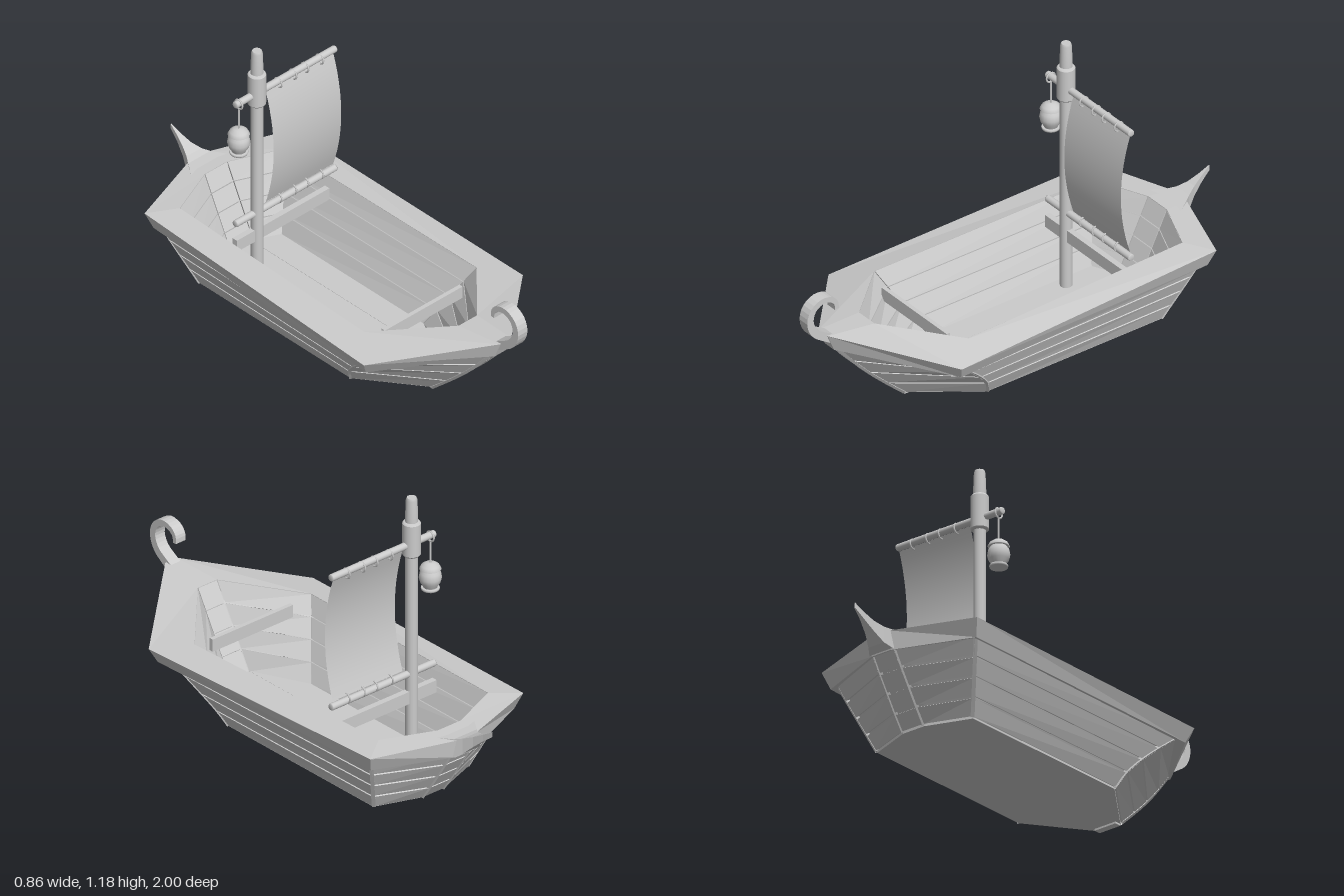
import * as THREE from 'three';
import { mergeGeometries } from 'three/addons/utils/BufferGeometryUtils.js';

const flat = new THREE.MeshStandardMaterial({ color: 0xcccccc, flatShading: true, side: THREE.DoubleSide });
const smooth = new THREE.MeshStandardMaterial({ color: 0xcccccc, side: THREE.DoubleSide });
const V = (a) => new THREE.Vector3(...a);

export function createModel() {
  const boat = new THREE.Group();
  boat.name = 'sailingBoat';
  const add = (name, geo, mat = flat, x = 0, y = 0, z = 0) => {
    const m = new THREE.Mesh(geo, mat);
    m.name = name;
    m.position.set(x, y, z);
    boat.add(m);
    return m;
  };

  // Geometry from a list of quads, each with four corners in outward order
  const quads = (list) => {
    const pos = [];
    for (const [a, b, c, d] of list) for (const p of [a, b, c, a, c, d]) pos.push(p.x, p.y, p.z);
    const g = new THREE.BufferGeometry();
    g.setAttribute('position', new THREE.Float32BufferAttribute(pos, 3));
    g.computeVertexNormals();
    return g;
  };

  // Skin over equal cross-sections; each section is a closed loop
  const loft = (sections, closed = false) => {
    const list = [];
    const n = sections.length;
    for (let i = 0; i < (closed ? n : n - 1); i++) {
      const s = sections[i], t = sections[(i + 1) % n];
      s.forEach((p, k) => {
        const k2 = (k + 1) % s.length;
        list.push([p, t[k], t[k2], s[k2]]);
      });
    }
    return quads(list);
  };

  // Plank: a quad pulled in at its edges by a gap and given thickness
  const plank = (corners, gap, thick) => {
    const [a, b, c, d] = corners;
    const inset = (p, along, up) => p.clone()
      .addScaledVector(along.clone().sub(p).normalize(), gap)
      .addScaledVector(up.clone().sub(p).normalize(), gap);
    const o = [inset(a, b, d), inset(b, a, c), inset(c, d, b), inset(d, c, a)];
    const n = c.clone().sub(a).cross(d.clone().sub(b)).normalize();
    const i = o.map((p) => p.clone().addScaledVector(n, -thick));
    const list = [o, [i[3], i[2], i[1], i[0]]];
    for (let k = 0; k < 4; k++) list.push([o[k], i[k], i[(k + 1) % 4], o[(k + 1) % 4]]);
    return quads(list);
  };

  // Half ring (bow centre, bow corner, stern corner, stern centre) mirrored to a full one
  const fullRing = (half) => {
    const r = half.map(V);
    return [...r, ...r.map((p) => new THREE.Vector3(-p.x, p.y, p.z)).reverse()];
  };

  // Outer hull: five levels, four strakes
  const outer = [
    [[0.055, 0.01, 0.55], [0.25, 0.01, 0.285], [0.25, 0.01, -0.58], [0.055, 0.01, -0.65]],
    [[0.049, 0.085, 0.635], [0.285, 0.08, 0.315], [0.278, 0.08, -0.607], [0.055, 0.075, -0.695]],
    [[0.043, 0.165, 0.72], [0.317, 0.145, 0.37], [0.306, 0.15, -0.635], [0.055, 0.145, -0.74]],
    [[0.036, 0.245, 0.795], [0.346, 0.21, 0.44], [0.334, 0.22, -0.662], [0.055, 0.215, -0.785]],
    [[0.03, 0.335, 0.87], [0.375, 0.275, 0.52], [0.362, 0.295, -0.69], [0.055, 0.29, -0.83]],
  ].map(fullRing);

  // Inner walls rise from the floor to the rim opening
  const floorHalf = [[0.05, 0.05, 0.5], [0.165, 0.05, 0.26], [0.165, 0.05, -0.545], [0.06, 0.05, -0.595]];
  const openHalf = [[0.05, 0.385, 0.69], [0.305, 0.34, 0.42], [0.285, 0.355, -0.65], [0.06, 0.355, -0.745]];
  const low = fullRing(floorHalf), high = fullRing(openHalf);
  const inner = [0, 0.25, 0.5, 0.75, 1].map((t) => low.map((p, i) => p.clone().lerp(high[i], t)));

  const outside = [], inside = [];
  for (let j = 0; j < 4; j++) {
    for (let i = 0; i < 8; i++) {
      const k = (i + 1) % 8;
      outside.push(plank([outer[j][i], outer[j][k], outer[j + 1][k], outer[j + 1][i]], 0.005, 0.018));
      inside.push(plank([inner[j][k], inner[j][i], inner[j + 1][i], inner[j + 1][k]], 0.002, 0.015));
    }
  }
  add('hullPlanks', mergeGeometries(outside));
  add('innerPlanks', mergeGeometries(inside));

  // Backing behind the plank gaps
  const core = outer.map((r) => r.map((p) => new THREE.Vector3(p.x * 0.965, p.y, p.z * 0.98)));
  const coreQuads = [];
  for (let j = 0; j < 4; j++) for (let i = 0; i < 8; i++) {
    const k = (i + 1) % 8;
    coreQuads.push([core[j][i], core[j][k], core[j + 1][k], core[j + 1][i]]);
  }
  add('hullCore', quads(coreQuads));

  // Corner posts where the plank panels meet
  for (let i = 0; i < 8; i++) {
    const path = new THREE.CatmullRomCurve3(outer.map((r) => new THREE.Vector3(r[i].x * 0.98, r[i].y + 0.004, r[i].z * 0.992)));
    add('cornerPost', new THREE.TubeGeometry(path, 8, 0.011, 4));
  }

  // Flat horizontal panel from [x, z] points
  const panel = (pts, thick) => new THREE.ExtrudeGeometry(
    new THREE.Shape(pts.map(([x, z]) => new THREE.Vector2(x, -z))), { depth: thick, bevelEnabled: false }).rotateX(-Math.PI / 2);
  add('hullBottom', panel(outer[0].map((p) => [p.x * 0.985, p.z * 0.99]), 0.015), flat, 0, 0.008, 0);
  add('keelFoot', new THREE.BoxGeometry(0.108, 0.02, 0.03), flat, 0, 0.01, 0.53);

  // Floor boards
  add('floorCentre', panel([[-0.049, 0.5], [0.049, 0.5], [0.049, -0.595], [-0.049, -0.595]], 0.02), flat, 0, 0.035, 0);
  for (const s of [1, -1]) {
    add('floorSide', panel([[0.052 * s, 0.5], [0.167 * s, 0.26], [0.167 * s, -0.547], [0.052 * s, -0.6]], 0.02), flat, 0, 0.033, 0);
  }

  // Gunwale: a broad sloping rim around the opening
  const rimTop = fullRing([[0.03, 0.4, 0.905], [0.43, 0.31, 0.55], [0.4, 0.345, -0.73], [0.05, 0.35, -0.85]]);
  const rimLow = fullRing([[0.03, 0.325, 0.875], [0.4, 0.25, 0.53], [0.375, 0.275, -0.705], [0.05, 0.27, -0.84]]);
  add('gunwale', loft(rimTop.map((p, i) => [
    rimLow[i], p, high[i], high[i].clone().setY(high[i].y - 0.05),
  ].reverse()), true));

  // Curled prow: a tapering outline offset on both sides of a curve in z, y
  const curl = new THREE.CatmullRomCurve3([
    [0.85, 0.36], [0.91, 0.395], [0.965, 0.435], [0.987, 0.49], [0.972, 0.54],
    [0.93, 0.566], [0.885, 0.56], [0.86, 0.535], [0.856, 0.505],
  ].map(([z, y]) => new THREE.Vector3(z, y, 0)));
  const left = [], right = [];
  for (let i = 0; i <= 24; i++) {
    const t = i / 24, p = curl.getPoint(t), d = curl.getTangent(t), w = 0.02 - 0.011 * t;
    left.push(new THREE.Vector2(p.x - d.y * w, p.y + d.x * w));
    right.unshift(new THREE.Vector2(p.x + d.y * w, p.y - d.x * w));
  }
  add('prowCurl', new THREE.ExtrudeGeometry(new THREE.Shape([...left, ...right]), { depth: 0.05, bevelEnabled: false })
    .translate(0, 0, -0.025).rotateY(-Math.PI / 2));

  // Stern horn sweeping up to a point: z, half width, top, bottom
  add('sternHorn', loft([
    [-0.78, 0.1, 0.352, 0.3], [-0.84, 0.06, 0.355, 0.275], [-0.87, 0.04, 0.363, 0.295],
    [-0.91, 0.022, 0.38, 0.335], [-0.955, 0.01, 0.405, 0.375], [-1, 0.002, 0.432, 0.41],
  ].map(([z, w, t, b]) => [[-w, b, z], [-w, t, z], [w, t, z], [w, b, z]].map(V))));

  // Cross boards
  add('bowThwart', new THREE.BoxGeometry(0.42, 0.055, 0.018), flat, -0.01, 0.29, 0.44);
  add('sternThwart', new THREE.BoxGeometry(0.5, 0.055, 0.025), flat, 0.01, 0.295, -0.385);

  // Mast with collar and tapered head
  const mz = -0.385;
  const lathe = (pts, seg = 20) => new THREE.LatheGeometry(pts.map(([r, y]) => new THREE.Vector2(r, y)), seg);
  add('mast', new THREE.CylinderGeometry(0.025, 0.025, 0.9, 16), smooth, -0.12, 0.5, mz);
  add('mastCollar', lathe([[0, 0.925], [0.031, 0.925], [0.037, 0.932], [0.037, 0.932], [0.037, 1.07], [0.037, 1.07], [0.031, 1.078], [0, 1.078]]), smooth, -0.12, 0, mz);
  add('mastHead', lathe([[0.026, 1.07], [0.026, 1.1], [0.023, 1.175], [0.019, 1.185], [0.019, 1.185], [0, 1.185]]), smooth, -0.12, 0, mz);

  // Two yards with their sail rings
  for (const [y, ringY] of [[0.978, 0.969], [0.397, 0.408]]) {
    add('yard', lathe([[0, -0.272], [0.012, -0.272], [0.015, -0.268], [0.015, -0.268], [0.015, 0.268], [0.015, 0.268], [0.012, 0.272], [0, 0.272]], 14)
      .rotateZ(-Math.PI / 2), smooth, 0.032, y, mz);
    for (const x of [-0.005, 0.075, 0.14, 0.22]) {
      add('sailRing', new THREE.TorusGeometry(0.021, 0.0035, 6, 16).rotateY(Math.PI / 2), smooth, x, ringY, mz);
    }
  }

  // Sail billowing forward between the yards
  const sail = new THREE.PlaneGeometry(0.365, 0.54, 1, 14);
  const sp = sail.attributes.position;
  for (let i = 0; i < sp.count; i++) sp.setZ(i, 0.045 * (1 - (sp.getY(i) / 0.27) ** 2));
  sail.computeVertexNormals();
  add('sail', sail, smooth, 0.1105, 0.69, mz);

  // Hanging lantern
  const lx = -0.218;
  add('lanternLoop', new THREE.TorusGeometry(0.021, 0.004, 6, 16).rotateY(Math.PI / 2), smooth, lx, 0.972, mz);
  add('lanternCord', new THREE.CylinderGeometry(0.004, 0.004, 0.11, 8), smooth, lx, 0.9, mz);
  add('lanternCap', lathe([[0, 0.856], [0.02, 0.854], [0.036, 0.843], [0.044, 0.828], [0.04, 0.826], [0, 0.83]]), smooth, lx, 0, mz);
  add('lanternBody', lathe([[0.03, 0.83], [0.042, 0.812], [0.046, 0.79], [0.041, 0.77], [0.03, 0.752], [0.028, 0.745]]), smooth, lx, 0, mz);
  add('lanternBase', lathe([[0, 0.747], [0.036, 0.747], [0.038, 0.742], [0.036, 0.736], [0, 0.736]]), smooth, lx, 0, mz);

  return boat;
}
